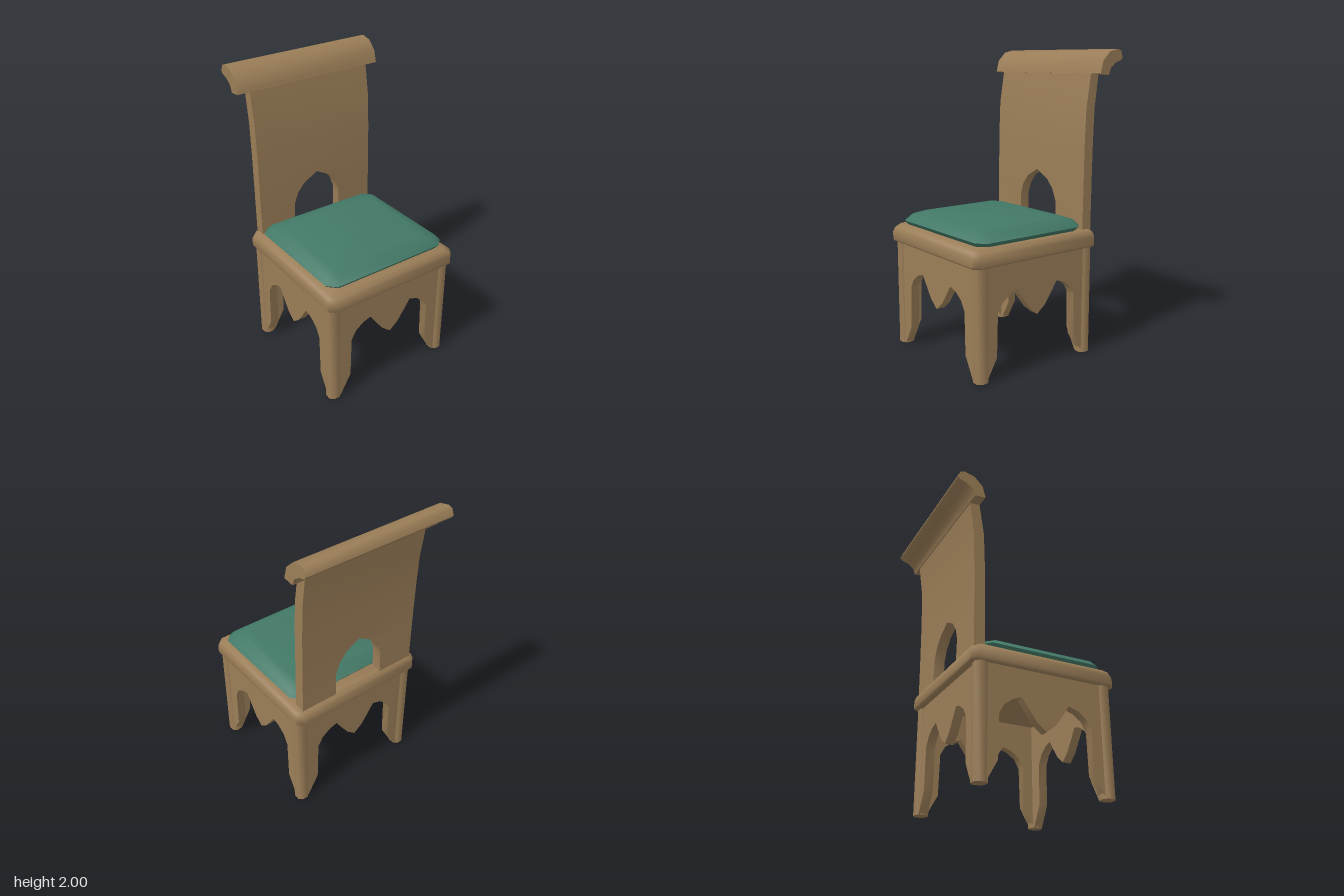
import * as THREE from 'three';
import { mergeGeometries, toCreasedNormals } from 'three/addons/utils/BufferGeometryUtils.js';

const CREASE = 1.0;
const SEAT_Z = 0.0715;      // centre of the seat and legs
const LEG_X = 0.438, LEG_Z = 0.422;

const wood = new THREE.MeshStandardMaterial({ color: 0x9a7d57 });
wood.name = 'wood';
const fabric = new THREE.MeshStandardMaterial({ color: 0x427866 });
fabric.name = 'green fabric';

// Skin stacked rings of [x, y, z] points, with caps at both ends
function loft(rings) {
  const n = rings[0].length, index = [];
  for (let i = 0; i < rings.length - 1; i++) {
    for (let j = 0; j < n; j++) {
      const a = i * n + j, b = i * n + (j + 1) % n;
      index.push(a, a + n, b + n, a, b + n, b);
    }
  }
  const top = (rings.length - 1) * n;
  for (let j = 1; j < n - 1; j++) {
    index.push(0, j, j + 1, top, top + j + 1, top + j);
  }
  const geo = new THREE.BufferGeometry();
  geo.setAttribute('position', new THREE.Float32BufferAttribute(rings.flat(2), 3));
  geo.setIndex(index);
  return geo;
}

// Rectangle with cut corners, at height y
function cutRect(hx, hz, cut, y, cz) {
  return [
    [hx, -hz + cut], [hx, hz - cut], [hx - cut, hz], [-hx + cut, hz],
    [-hx, hz - cut], [-hx, -hz + cut], [-hx + cut, -hz], [hx - cut, -hz],
  ].map(([x, z]) => [x, y, z + cz]);
}

function addMesh(group, name, geo, material) {
  const mesh = new THREE.Mesh(toCreasedNormals(geo, CREASE), material);
  mesh.name = name;
  group.add(mesh);
  return mesh;
}

function polygon(points) {
  return new THREE.Shape(points.map(([x, y]) => new THREE.Vector2(x, y)));
}

// Apron panel: twin arches with a pointed lobe between them
function apronGeometry(grow) {
  const half = [
    [0.43 + grow, 0.725], [0.43 + grow, 0], [0.398, 0], [0.32, 0.14], [0.313, 0.42],
    [0.277, 0.483], [0.22, 0.524], [0.16, 0.543], [0.12, 0.483], [0.063, 0.403],
  ];
  const mirrored = half.map(([x, y]) => [-x, y]).reverse();
  const depth = 0.06;
  const geo = new THREE.ExtrudeGeometry(polygon([...half, [0, 0.352], ...mirrored]),
    { depth, bevelEnabled: false });
  return geo.translate(0, 0, -depth / 2);
}

// Curved back panel, built in two halves around the pointed opening
function backGeometry() {
  // y, half width of opening, front z, back z, forward bulge at the middle
  const levels = [
    [0.83, 0.185, -0.327, -0.4, 0],
    [0.99, 0.185, -0.329, -0.401, 0.008],
    [1.07, 0.155, -0.33, -0.402, 0.011],
    [1.135, 0.1, -0.33, -0.402, 0.012],
    [1.19, 0, -0.331, -0.403, 0.012],
    [1.4, 0, -0.333, -0.406, 0.004],
    [1.63, 0, -0.342, -0.414, 0],
    [1.87, 0, -0.38, -0.446, 0],
  ];
  const outer = 0.448;
  const right = levels.map(([y, inner, front, back, bulge]) => {
    const b = bulge * (1 - inner / outer);
    return [[outer, y, back], [outer, y, front], [inner, y, front + b], [inner, y, back + b]];
  });
  const left = right.map((ring) => ring.map(([x, y, z]) => [-x, y, z]).reverse());
  return mergeGeometries([loft(right), loft(left)]);
}

export function createModel() {
  const chair = new THREE.Group();
  chair.name = 'chair';

  // Legs
  for (const sx of [-1, 1]) {
    for (const sz of [-1, 1]) {
      const name = (sz > 0 ? 'front' : 'back') + (sx > 0 ? 'Left' : 'Right') + 'Leg';
      const geo = loft([0, 0.73].map((y) => cutRect(0.044, 0.044, 0.024, y, 0)));
      addMesh(chair, name, geo, wood).position.set(sx * LEG_X, 0, SEAT_Z + sz * LEG_Z);
    }
  }

  // Aprons between the legs
  for (const s of [-1, 1]) {
    addMesh(chair, s > 0 ? 'frontApron' : 'backApron', apronGeometry(0), wood)
      .position.set(0, 0, SEAT_Z + s * LEG_Z);
    const side = addMesh(chair, s > 0 ? 'leftApron' : 'rightApron', apronGeometry(-0.01), wood);
    side.position.set(s * LEG_X, 0, SEAT_Z);
    side.rotation.y = Math.PI / 2;
  }

  // Seat board with rounded upper edge
  const seat = [[0.49, 0.725], [0.497, 0.735], [0.497, 0.79], [0.487, 0.818], [0.465, 0.838]];
  addMesh(chair, 'seat', loft(seat.map(([h, y]) => cutRect(h, h, 0.037, y, SEAT_Z))), wood);

  // Cushion: inset from its widest outline, and height
  const cushion = [[0.022, 0.836], [0, 0.865], [0.028, 0.9], [0.095, 0.927]];
  addMesh(chair, 'cushion', loft(cushion.map(([inset, y]) =>
    cutRect(0.461 - inset, 0.421 - inset, 0.055, y, 0.087))), fabric);

  // Back panel
  addMesh(chair, 'backPanel', backGeometry(), wood);

  // Scrolled crest rail, profile as [z, y]
  const crest = polygon([
    [-0.374, 1.846], [-0.395, 1.926], [-0.454, 1.984], [-0.522, 2.0], [-0.552, 1.99],
    [-0.569, 1.947], [-0.556, 1.931], [-0.507, 1.915], [-0.464, 1.883], [-0.448, 1.838],
  ]);
  const crestGeo = new THREE.ExtrudeGeometry(crest, { depth: 1.07, bevelEnabled: false });
  crestGeo.translate(0, 0, -0.535).rotateY(-Math.PI / 2);
  addMesh(chair, 'crestRail', crestGeo, wood);

  return chair;
}
